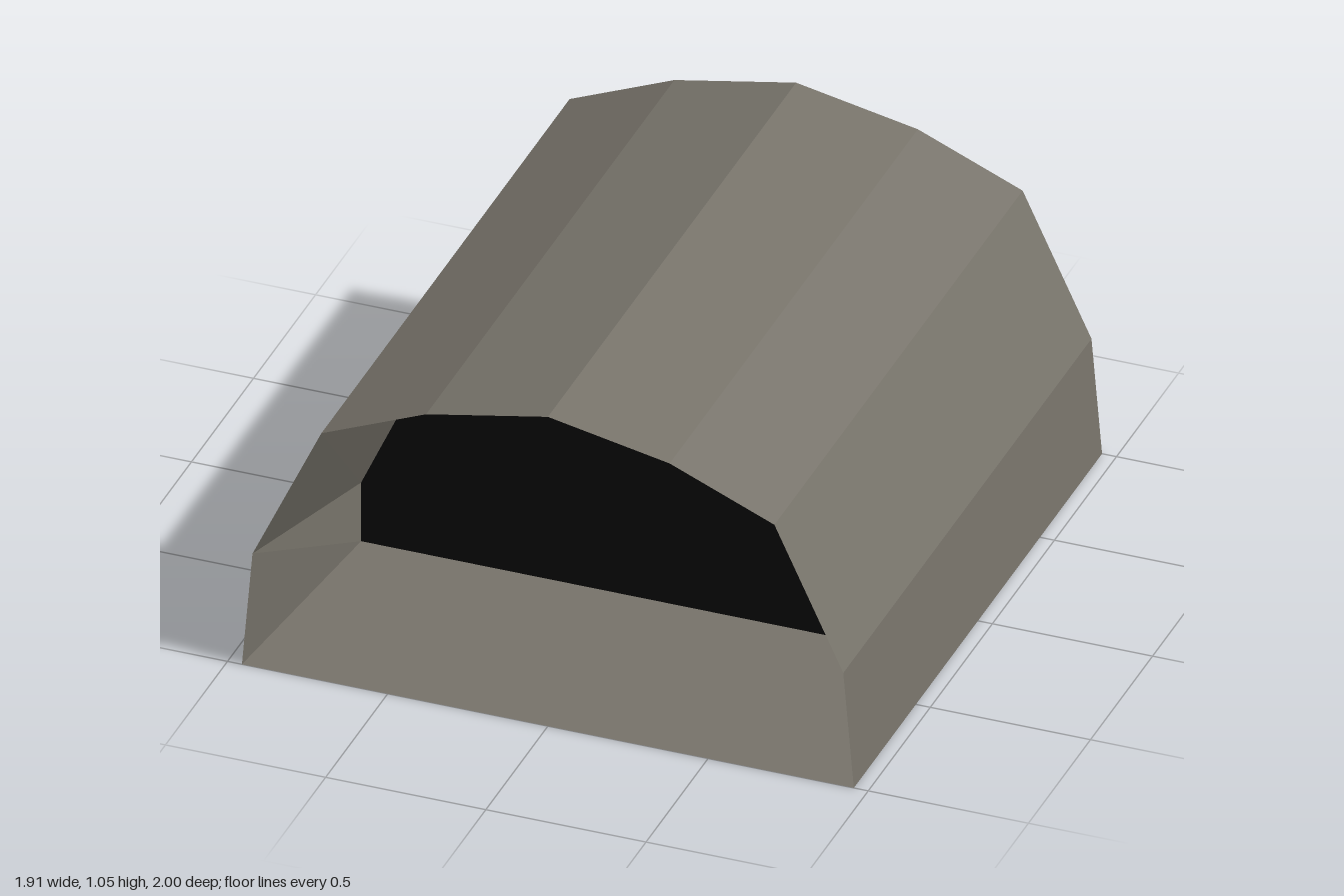
import * as THREE from 'three';

const stone = new THREE.MeshStandardMaterial({ color: 0x78746b });
stone.name = 'stone';
const dark = new THREE.MeshStandardMaterial({ color: 0x0d0d0d, side: THREE.DoubleSide });
dark.name = 'darkness';

// Closed counter-clockwise outline from its right half (bottom to apex)
function mirrored(half) {
  const left = half.filter(([x]) => x > 0).reverse().map(([x, y]) => [-x, y]);
  return [...half, ...left].map(([x, y]) => new THREE.Vector2(x, y));
}

const arch = [[0.8, 0.335], [0.61, 0.75], [0.33, 0.857], [0, 0.92]];
const outer = mirrored([[0.955, 0], [0.922, 0.385], [0.707, 0.843], [0.38, 0.98], [0, 1.055]]);
const inner = mirrored([[0.8, 0.135], ...arch]);
const cavity = mirrored([[0.67, 0.13], [0.67, 0.155], [0.8, 0.155], ...arch]);

// Flat-faced skin between two outlines; faces inward when zA > zB, outward otherwise
function loft(a, zA, b, zB) {
  const pos = [];
  for (let i = 0; i < a.length; i++) {
    const j = (i + 1) % a.length;
    const p = [a[i].x, a[i].y, zA], q = [a[j].x, a[j].y, zA];
    const r = [b[j].x, b[j].y, zB], s = [b[i].x, b[i].y, zB];
    pos.push(...p, ...q, ...r, ...p, ...r, ...s);
  }
  const g = new THREE.BufferGeometry();
  g.setAttribute('position', new THREE.Float32BufferAttribute(pos, 3));
  g.computeVertexNormals();
  return g;
}

export function createModel() {
  const model = new THREE.Group();
  model.name = 'tunnel';
  const add = (name, geometry, material) => {
    const mesh = new THREE.Mesh(geometry, material);
    mesh.name = name;
    model.add(mesh);
  };
  const panelZ = 0.44;

  // Vaulted outside, with its flat underside
  add('outerShell', loft(outer, -1, outer, 1), stone);
  // Mouth narrowing from the sharp front edge to the dark panel
  add('frontMouth', loft(outer, 1, inner, panelZ), stone);
  // Rear passage with a low ledge along each wall
  add('rearPassage', loft(cavity, panelZ, cavity, -1), stone);

  // Flat rim around the rear opening
  const rim = new THREE.Shape(outer);
  rim.holes.push(new THREE.Path(cavity));
  add('rearRim', new THREE.ShapeGeometry(rim).rotateY(Math.PI).translate(0, 0, -1), stone);

  // Black panel closing the passage
  add('darkPanel', new THREE.ShapeGeometry(new THREE.Shape(inner)).translate(0, 0, panelZ), dark);
  return model;
}
